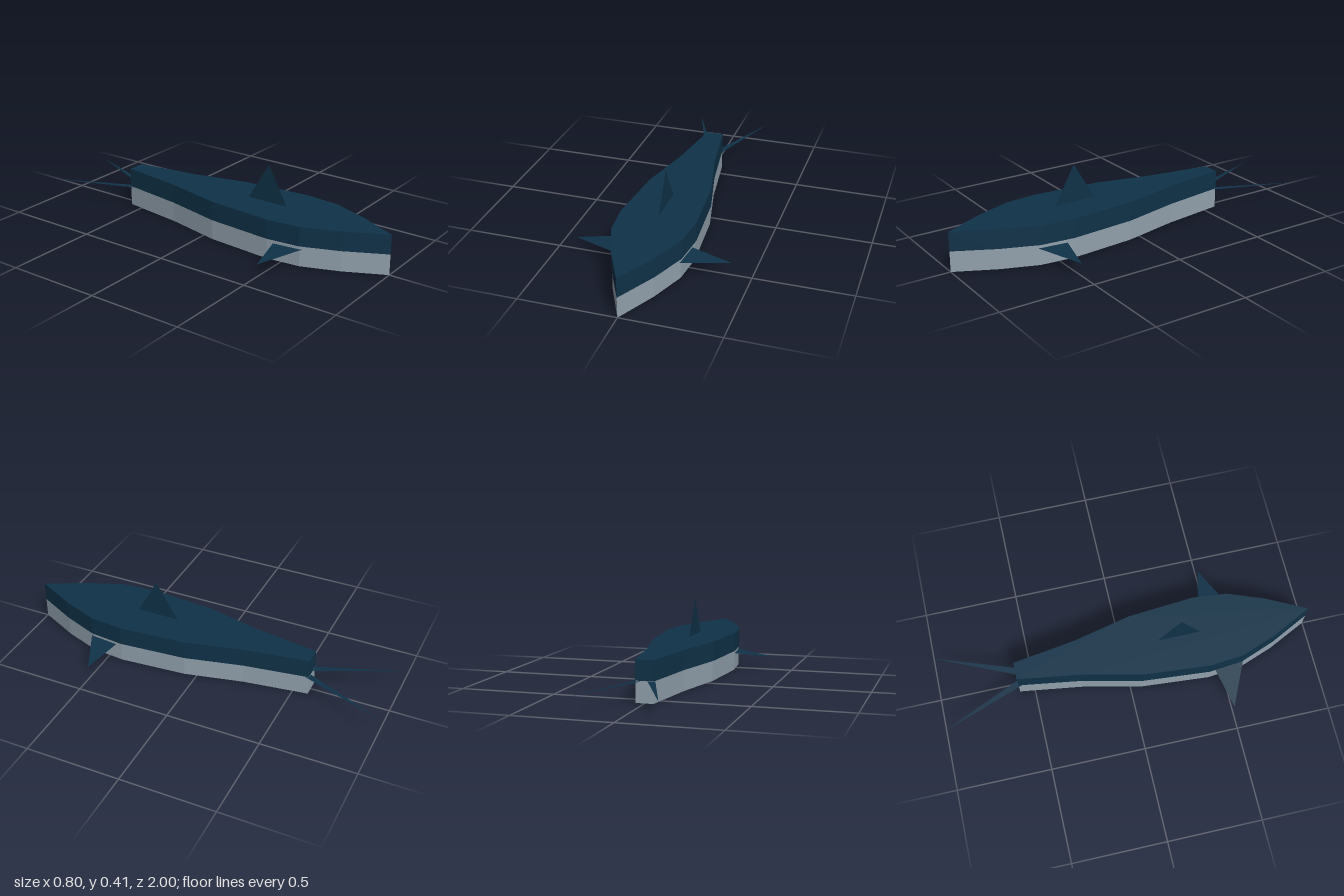
import * as THREE from 'three';

export function createModel() {
  const group = new THREE.Group();
  const navy = new THREE.MeshStandardMaterial({ color: 0x0f3248, side: THREE.DoubleSide });
  navy.name = 'navy back';
  const grey = new THREE.MeshStandardMaterial({ color: 0x92a1ad });
  grey.name = 'grey belly';

  // Half outline of the body seen from above: [half width, z]
  const outline = [
    [0.106, 0.79], [0.178, 0.6], [0.196, 0.42], [0.167, 0.065], [0.097, -0.24], [0.046, -0.58],
  ];

  function add(name, geometry, material) {
    const mesh = new THREE.Mesh(geometry, material);
    mesh.name = name;
    group.add(mesh);
  }

  // Straight-sided slab following the outline
  function slab(widthScale, y0, y1) {
    const left = outline.map(([x, z]) => new THREE.Vector2(x * widthScale, -z));
    const right = left.map((p) => new THREE.Vector2(-p.x, p.y)).reverse();
    const shape = new THREE.Shape([new THREE.Vector2(0, -1), ...left, ...right]);
    return new THREE.ExtrudeGeometry(shape, { depth: y1 - y0, bevelEnabled: false })
      .rotateX(-Math.PI / 2)
      .translate(0, y0, 0);
  }

  // Paper-thin triangular fin
  function fin(a, b, c) {
    const geometry = new THREE.BufferGeometry();
    geometry.setAttribute('position', new THREE.Float32BufferAttribute([...a, ...b, ...c], 3));
    geometry.computeVertexNormals();
    return geometry;
  }

  add('upperBody', slab(1, 0.108, 0.21), navy);
  add('belly', slab(0.97, 0, 0.108), grey);
  add('dorsalFin', fin([0, 0.21, 0.41], [0, 0.21, 0.18], [0, 0.41, 0.3]), navy);

  // Paired fins, mirrored across the body
  for (const [side, s] of [['left', 1], ['right', -1]]) {
    const pectoral = [[s * 0.16, 0.091, 0.615], [s * 0.4, 0.07, 0.505], [s * 0.16, 0.091, 0.448]];
    const tail = [[s * 0.048, 0.105, -0.56], [s * 0.205, 0.105, -1], [s * 0.012, 0.105, -0.57]];
    if (s < 0) {
      pectoral.reverse();
      tail.reverse();
    }
    add(side + 'PectoralFin', fin(...pectoral), navy);
    add(side + 'TailFin', fin(...tail), navy);
  }
  return group;
}
